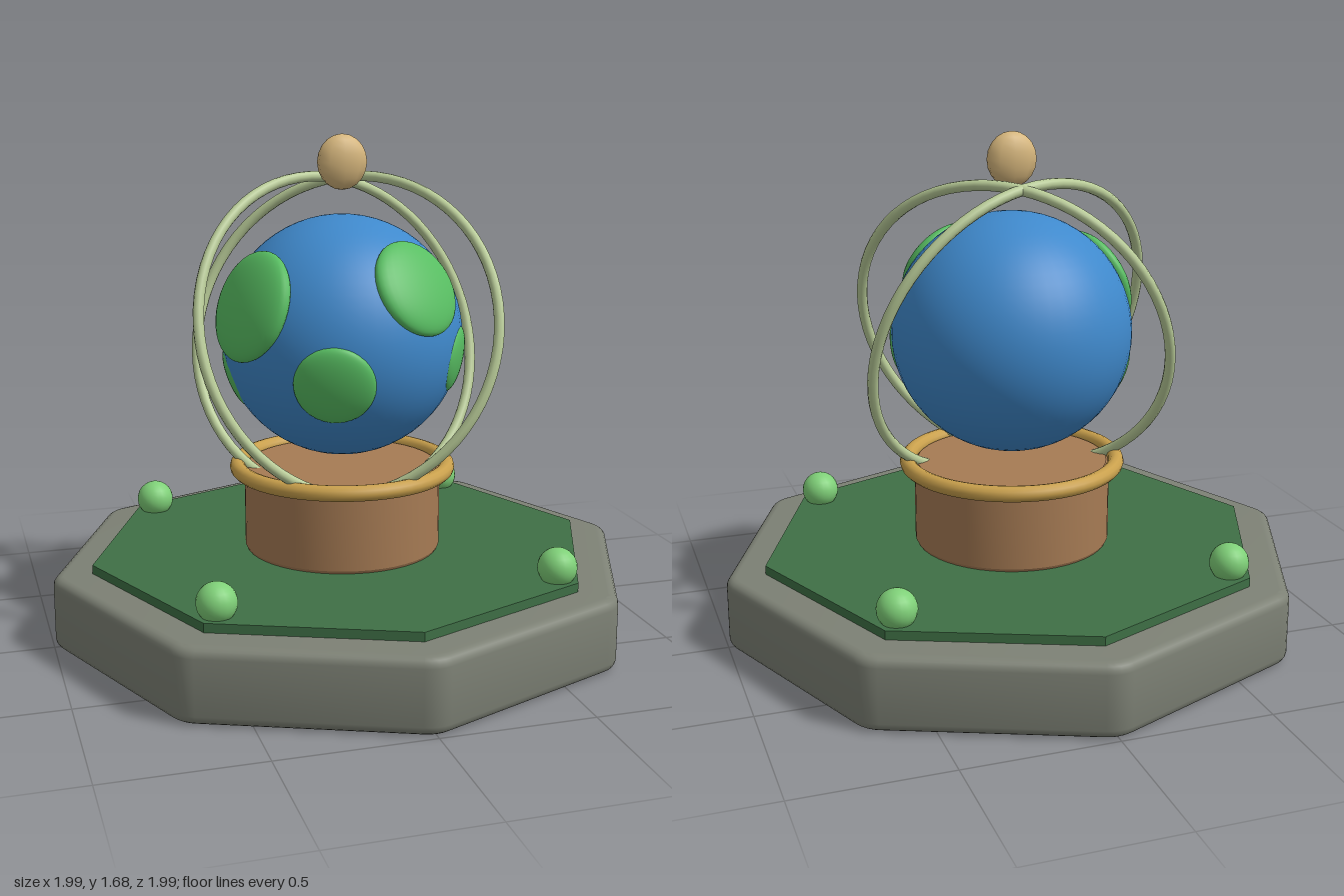
import * as THREE from 'three';
import { toCreasedNormals } from 'three/addons/utils/BufferGeometryUtils.js';

const GLOBE_Y = 1.01;

function material(name, color) {
  const m = new THREE.MeshStandardMaterial({ color });
  m.name = name;
  return m;
}

// Octagon with a corner on each axis and softly rounded corners
function octagonShape(radius, round) {
  const corner = (i) => new THREE.Vector2(Math.cos(i * Math.PI / 4), Math.sin(i * Math.PI / 4)).multiplyScalar(radius);
  const side = 2 * radius * Math.sin(Math.PI / 8);
  const shape = new THREE.Shape();
  for (let i = 0; i < 8; i++) {
    const c = corner(i);
    const a = c.clone().lerp(corner(i + 7), round / side);
    const b = c.clone().lerp(corner(i + 1), round / side);
    if (i === 0) shape.moveTo(a.x, a.y);
    else shape.lineTo(a.x, a.y);
    shape.quadraticCurveTo(c.x, c.y, b.x, b.y);
  }
  shape.closePath();
  return shape;
}

export function createModel() {
  const model = new THREE.Group();
  const stone = material('stone grey', 0x7d8175);
  const lawn = material('lawn green', 0x3f7046);
  const wood = material('wood brown', 0xa67b54);
  const brass = material('brass', 0xc9a04c);
  const ocean = material('ocean blue', 0x3f89cc);
  const land = material('land green', 0x58be62);
  const bush = material('bush green', 0x7fd078);
  const pale = material('pale green', 0xb9cc98);
  const tan = material('tan', 0xd6b67c);

  const add = (name, geometry, mat, x = 0, y = 0, z = 0) => {
    const mesh = new THREE.Mesh(geometry, mat);
    mesh.name = name;
    mesh.position.set(x, y, z);
    model.add(mesh);
    return mesh;
  };

  // Octagonal plinth with rounded edges
  const bevel = 0.032;
  const plinth = new THREE.ExtrudeGeometry(octagonShape(0.969, 0.035), {
    depth: 0.245 - 2 * bevel, bevelSize: bevel, bevelThickness: bevel, bevelSegments: 4, curveSegments: 4,
  });
  plinth.rotateX(-Math.PI / 2);
  add('plinth', toCreasedNormals(plinth, 0.6), stone, 0, bevel, 0);

  // Lawn plate
  const lawnGeometry = toCreasedNormals(new THREE.CylinderGeometry(0.865, 0.865, 0.04, 8), 0.3);
  add('lawn', lawnGeometry, lawn, 0, 0.255, 0);

  // Drum pedestal and its rim
  const drumProfile = [[0, 0.265], [0.325, 0.265], [0.335, 0.285], [0.335, 0.55], [0.325, 0.56], [0, 0.56]]
    .map(([r, y]) => new THREE.Vector2(r, y));
  add('pedestal', toCreasedNormals(new THREE.LatheGeometry(drumProfile, 48), 0.4), wood);
  add('pedestalRim', new THREE.TorusGeometry(0.358, 0.027, 12, 56).rotateX(Math.PI / 2), brass, 0, 0.557, 0);

  // Globe
  add('globe', new THREE.SphereGeometry(0.405, 48, 32), ocean, 0, GLOBE_Y, 0);

  // Land patches: outward direction and radius of flattened spheres
  const patches = [
    [-0.88, 0.34, 0.32, 0.185],
    [0.42, 0.50, 0.75, 0.165],
    [-0.33, -0.25, 0.91, 0.132],
    [0.86, -0.17, 0.49, 0.112],
    [-0.91, -0.36, -0.18, 0.105],
  ];
  const forward = new THREE.Vector3(0, 0, 1);
  for (const [x, y, z, r] of patches) {
    const n = new THREE.Vector3(x, y, z).normalize();
    const patch = add('landPatch', new THREE.SphereGeometry(r, 32, 20), land);
    patch.scale.z = 0.3;
    patch.quaternion.setFromUnitVectors(forward, n);
    patch.position.copy(n).multiplyScalar(0.382);
    patch.position.y += GLOBE_Y;
  }

  // Two tilted orbit hoops that sink into the pedestal
  for (const turn of [-40, 20]) {
    const hoop = add('orbitHoop', new THREE.TorusGeometry(0.55, 0.018, 10, 72), pale, 0, GLOBE_Y, 0);
    hoop.rotation.set(THREE.MathUtils.degToRad(-20), THREE.MathUtils.degToRad(turn), 0, 'YXZ');
  }

  // Flattened finial
  const finial = add('finial', new THREE.SphereGeometry(1, 10, 10).rotateY(Math.PI / 2), tan, 0, 1.587, 0);
  finial.scale.set(0.086, 0.092, 0.046);

  // Round bushes on the lawn corners
  for (const x of [-0.56, 0.56]) {
    for (const z of [-0.56, 0.56]) {
      add('bush', new THREE.SphereGeometry(0.065, 20, 14), bush, x, 0.317, z);
    }
  }
  return model;
}
